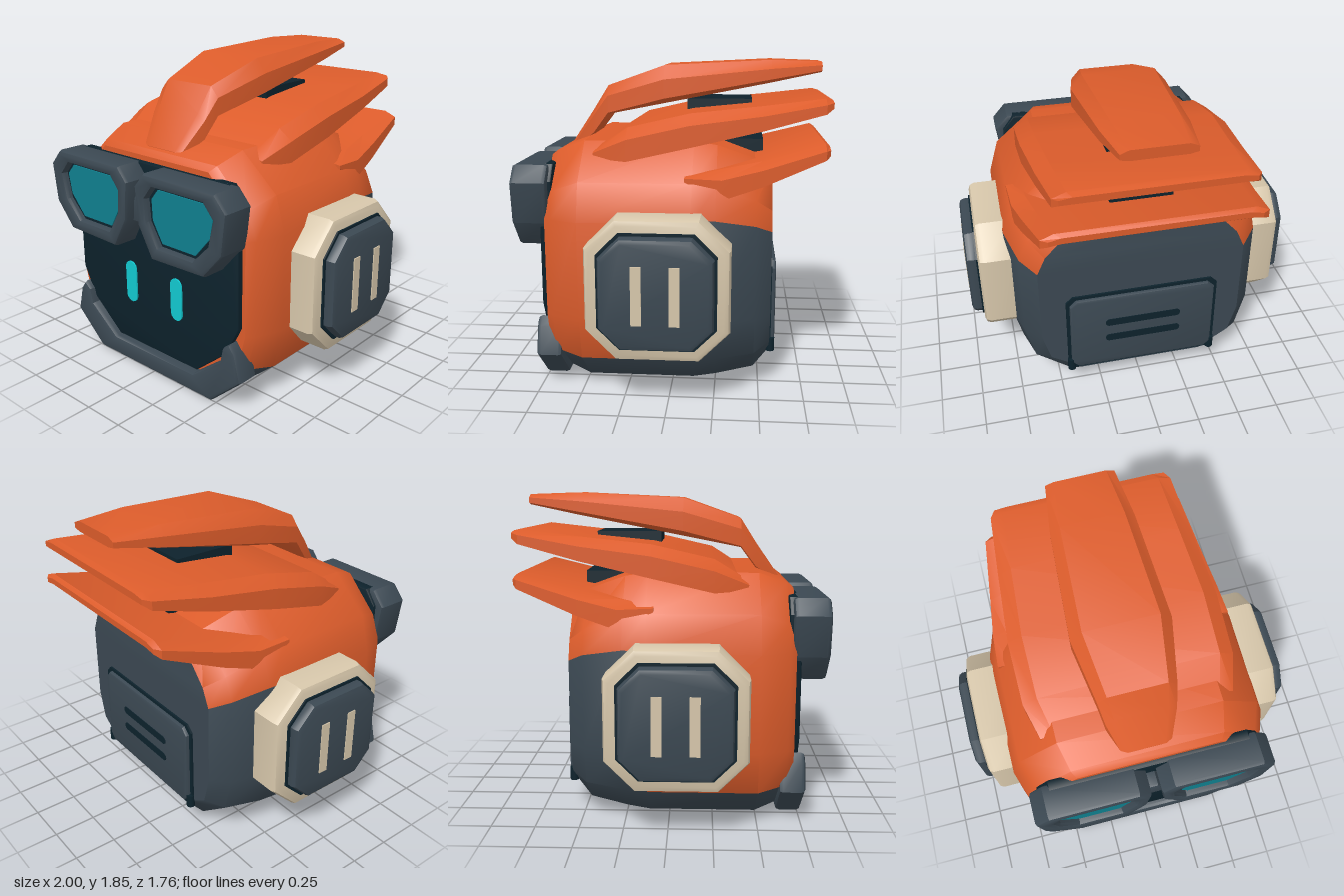
import * as THREE from 'three';
import { toCreasedNormals } from 'three/addons/utils/BufferGeometryUtils.js';

const mat = (name, color) => {
  const m = new THREE.MeshStandardMaterial({ color });
  m.name = name;
  return m;
};

// Mirrors a right-hand outline (bottom to top) into a closed ring
const sym = (half) => [...half, ...half.map(([x, y]) => [-x, y]).reverse()];
const octagon = (h, f) => sym([[f, -h], [h, -f], [h, f], [f, h]]);

// Skins rings of [x, y, z] ordered front to back; pick() gives a material index
function loft(rings, crease, pick = () => 0) {
  const n = rings[0].length, last = rings.length - 1;
  const faces = [[], []];
  const quad = (k, a, b, c, d) => faces[k].push(a, b, c, a, c, d);
  for (let i = 0; i < last; i++) {
    for (let j = 0; j < n; j++) {
      const a = i * n + j, b = i * n + (j + 1) % n;
      quad(pick(i, j), a, a + n, b + n, b);
    }
  }
  // End caps as strips across the ring
  for (let j = 0; j < n / 2 - 1; j++) {
    const o = last * n;
    quad(pick(-1, j), j, j + 1, n - 2 - j, n - 1 - j);
    quad(pick(last, j), o + j, o + n - 1 - j, o + n - 2 - j, o + j + 1);
  }
  const g = new THREE.BufferGeometry();
  g.setAttribute('position', new THREE.Float32BufferAttribute(rings.flat(2), 3));
  g.setIndex([...faces[0], ...faces[1]]);
  g.addGroup(0, faces[0].length, 0);
  g.addGroup(faces[0].length, faces[1].length, 1);
  return toCreasedNormals(g, crease);
}

// Bevelled plate with its outline in xy, reaching from z0 to z1
function plate(points, z0, z1, bevel = 0, hole = null) {
  const vec = (list) => list.map(([x, y]) => new THREE.Vector2(x, y));
  const shape = new THREE.Shape(vec(points));
  if (hole) shape.holes.push(new THREE.Path(vec(hole)));
  const g = new THREE.ExtrudeGeometry(shape, {
    depth: z1 - z0 - 2 * bevel, bevelEnabled: bevel > 0, bevelThickness: bevel,
    bevelSize: bevel, bevelOffset: -bevel, bevelSegments: 2, curveSegments: 8,
  });
  g.translate(0, 0, z0 + bevel);
  return toCreasedNormals(g, 0.6);
}

// Upright or flat rounded bar outline
function pill(cx, cy, w, h) {
  const r = Math.min(w, h) / 2, pts = [];
  for (let i = 0; i < 16; i++) {
    const a = ((i + 0.5) / 16) * Math.PI * 2, c = Math.cos(a), s = Math.sin(a);
    pts.push([cx + Math.sign(c) * (w / 2 - r) + c * r, cy + Math.sign(s) * (h / 2 - r) + s * r]);
  }
  return pts;
}

export function createModel() {
  const orange = mat('orange shell', 0xdc5c2b);
  const slate = mat('slate', 0x3b4852);
  const dark = mat('dark glass', 0x0d222c);
  const cream = mat('cream', 0xd6c6aa);
  const teal = mat('teal lens', 0x0f7f8e);
  const cyan = mat('cyan light', 0x12c8d0);

  const model = new THREE.Group();
  const add = (name, geometry, material, parent = model) => {
    const mesh = new THREE.Mesh(geometry, material);
    mesh.name = name;
    parent.add(mesh);
    return mesh;
  };

  // Head: z, half width, bottom, top, side seam height
  const headRings = [
    [0.70, 0.67, 0.10, 1.32, 1.00], [0.66, 0.71, 0.06, 1.35, 1.00],
    [0.50, 0.77, 0.00, 1.41, 1.00], [-0.12, 0.77, 0.00, 1.41, 1.02],
    [-0.25, 0.76, 0.02, 1.39, 1.02], [-0.47, 0.70, 0.06, 1.31, 0.98],
    [-0.56, 0.61, 0.15, 1.24, 0.93],
  ].map(([z, w, b, t, seam]) => sym([
    [0.61 * w, b], [0.92 * w, 0.2 + b * 0.5], [w, 0.45], [w, seam],
    [0.92 * w, t - 0.2], [0.62 * w, t],
  ]).map(([x, y]) => [x, y, z]));
  const headColour = (i, j) => {
    if (i === -1) return 0;
    if (i === 6) return 1;
    const row = j > 5 ? 10 - j : j;
    return row <= 0 || (row < 3 && i >= 3) ? 1 : 0;
  };
  add('head', loft(headRings, 0.7, headColour), [orange, slate]);

  // Face screen and eyes
  add('faceScreen', plate(sym([[0.33, 0.13], [0.56, 0.32], [0.65, 0.5], [0.65, 1.2], [0.58, 1.29]]),
    0.66, 0.73, 0.01), dark);
  for (const s of [-1, 1]) add('eye', plate(pill(s * 0.188, 0.53, 0.09, 0.26), 0.731, 0.74), cyan);

  // Chin guard wrapping the lower face
  add('chinGuard', plate([
    [-0.33, 0.12], [-0.54, 0.28], [-0.56, 0.37], [-0.61, 0.41], [-0.65, 0.36], [-0.69, 0.2], [-0.47, 0.005],
    [0.47, 0.005], [0.69, 0.2], [0.65, 0.36], [0.61, 0.41], [0.56, 0.37], [0.54, 0.28], [0.33, 0.12],
  ].reverse(), 0.62, 0.77, 0.025), slate);

  // Goggles
  const frame = [[0.15, 0.81], [0.54, 0.82], [0.67, 0.97], [0.7, 1.2], [0.62, 1.29], [0.1, 1.29], [0.03, 1.21], [0.05, 0.99]];
  const opening = [[0.2, 0.89], [0.46, 0.89], [0.57, 1.0], [0.605, 1.15], [0.54, 1.225], [0.17, 1.225], [0.11, 1.15], [0.12, 1.02]];
  const lens = [[0.21, 0.91], [0.455, 0.91], [0.56, 1.03], [0.585, 1.15], [0.53, 1.21], [0.185, 1.21], [0.135, 1.15], [0.14, 1.03]];
  for (const s of [-1, 1]) {
    const side = (pts) => (s > 0 ? pts : pts.map(([x, y]) => [-x, y]).reverse());
    const goggle = new THREE.Group();
    goggle.name = s > 0 ? 'leftGoggle' : 'rightGoggle';
    add('goggleFrame', plate(side(frame), 0.68, 0.885, 0.025, side(opening)), slate, goggle);
    add('goggleRim', plate(side(opening), 0.69, 0.84), dark, goggle);
    add('goggleLens', plate(side(lens), 0.84, 0.848), teal, goggle);
    model.add(goggle);
  }
  add('goggleBridge', plate(sym([[0.06, 0.97], [0.05, 1.1], [0.025, 1.14]]), 0.7, 0.82, 0.015), slate);

  // Ear pods
  for (const s of [-1, 1]) {
    const ear = new THREE.Group();
    ear.name = s > 0 ? 'leftEar' : 'rightEar';
    add('earRing', plate(octagon(0.39, 0.225), 0.66, 0.925, 0.035), cream, ear);
    add('earGroove', plate(octagon(0.32, 0.2), 0.9, 0.935), dark, ear);
    add('earCap', plate(octagon(0.305, 0.19), 0.9, 0.994, 0.03), slate, ear);
    // Plain cream slats on the cap
    for (const x of [-0.1, 0.1]) {
      add('earSlat', plate([[x - 0.028, -0.16], [x + 0.028, -0.16], [x + 0.028, 0.16], [x - 0.028, 0.16]], 0.992, 1.0), cream, ear);
    }
    ear.position.set(0, 0.67, 0.05);
    ear.rotation.y = s * Math.PI / 2;
    model.add(ear);
  }

  // Hair blades: z, half width, underside, lower edge, upper edge, top
  const blade = (name, k, rows) => add(name, loft(rows.map(([z, w, b, e, f, t]) => [
    [-w, e, z], [-k * w, b, z], [k * w, b, z], [w, e, z],
    [w, f, z], [k * w, t, z], [-k * w, t, z], [-w, f, z],
  ]), 0.5), orange);
  blade('topHairBlade', 0.76, [
    [0.64, 0.14, 1.32, 1.32, 1.34, 1.36], [0.5, 0.2, 1.41, 1.42, 1.52, 1.56],
    [0.41, 0.22, 1.53, 1.54, 1.64, 1.70], [0.07, 0.28, 1.60, 1.63, 1.74, 1.82],
    [-0.55, 0.24, 1.72, 1.74, 1.80, 1.85], [-0.84, 0.2, 1.78, 1.79, 1.82, 1.84],
  ]);
  blade('middleHairBlade', 0.86, [
    [0.44, 0.56, 1.33, 1.32, 1.35, 1.37], [0.25, 0.61, 1.36, 1.31, 1.43, 1.49],
    [-0.1, 0.61, 1.44, 1.39, 1.51, 1.57], [-0.5, 0.575, 1.52, 1.48, 1.56, 1.61],
    [-0.84, 0.54, 1.58, 1.57, 1.62, 1.65], [-0.88, 0.51, 1.60, 1.60, 1.63, 1.64],
  ]);
  blade('lowerHairBlade', 0.88, [
    [-0.08, 0.71, 1.20, 1.22, 1.24, 1.25], [-0.28, 0.70, 1.20, 1.12, 1.23, 1.28],
    [-0.5, 0.665, 1.25, 1.19, 1.28, 1.32], [-0.84, 0.61, 1.34, 1.33, 1.38, 1.41],
    [-0.865, 0.57, 1.36, 1.35, 1.38, 1.395],
  ]);

  // Dark blocks between the blades
  for (const [y, z, h, d] of [[1.57, -0.25, 0.11, 0.38], [1.33, -0.36, 0.12, 0.3]]) {
    add('hairSpacer', new THREE.BoxGeometry(0.36, h, d).translate(0, y, z), dark);
  }

  // Rear panel with vents and corner bolts
  const rear = new THREE.Group();
  rear.name = 'rearPanel';
  rear.rotation.y = Math.PI;
  const panel = (w, b, t) => sym([[w - 0.04, b], [w, b + 0.04], [w, t - 0.04], [w - 0.04, t]]);
  add('panelSurround', plate(panel(0.46, 0.17, 0.73), 0.5, 0.572), dark, rear);
  add('panelCover', plate(panel(0.44, 0.19, 0.71), 0.5, 0.595, 0.015), slate, rear);
  for (const y of [0.4, 0.52]) add('ventSlot', plate(pill(0, y, 0.46, 0.05), 0.592, 0.599), dark, rear);
  for (const s of [-1, 1]) {
    add('panelBolt', new THREE.CylinderGeometry(0.025, 0.025, 0.08, 12).translate(s * 0.44, 0.21, 0.57), dark, rear);
  }
  model.add(rear);
  return model;
}
